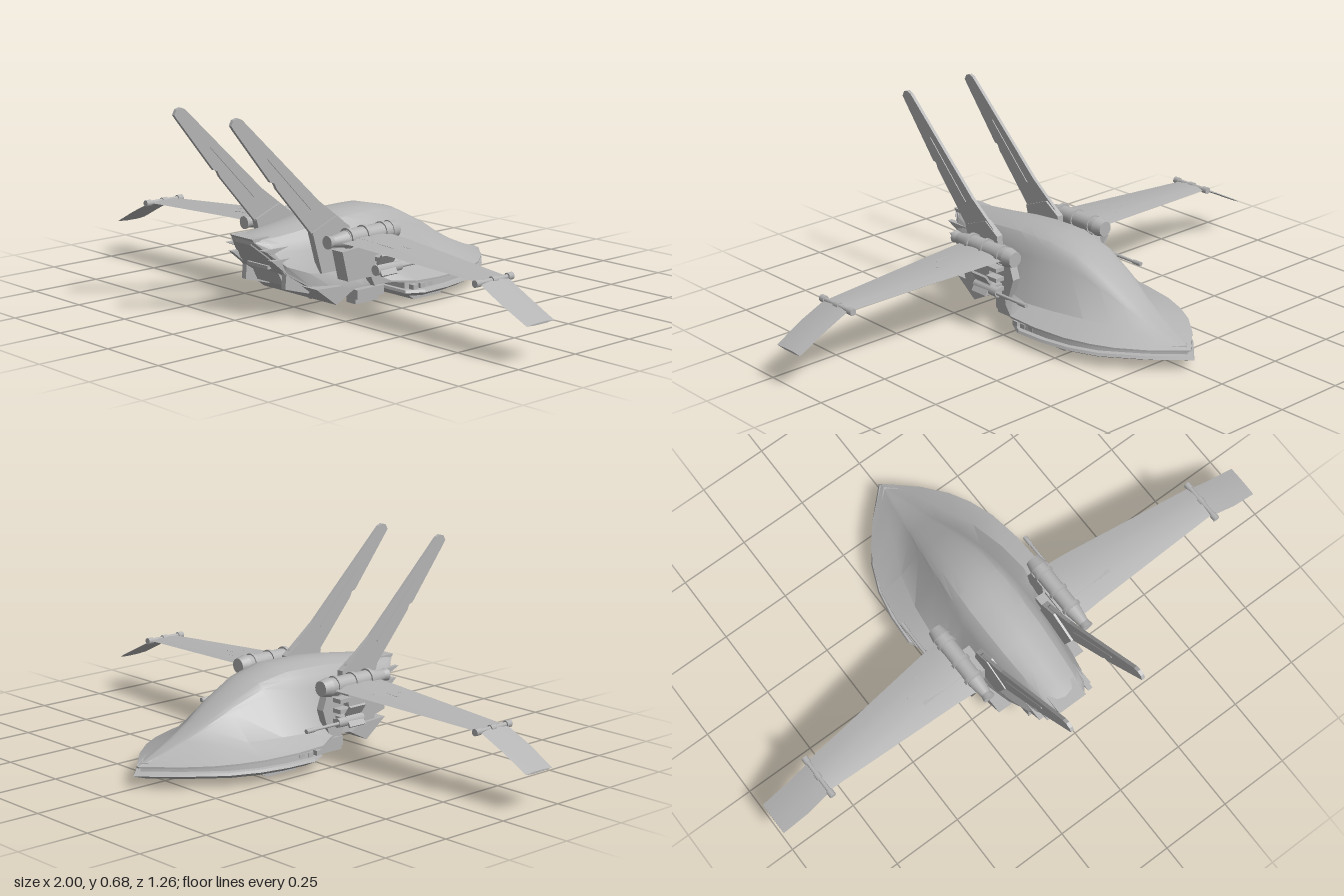
import * as THREE from 'three';
import { toCreasedNormals } from 'three/addons/utils/BufferGeometryUtils.js';

// Skin a closed surface over rings of [x, y, z] points, capped at both ends.
// Rings run clockwise when seen from the end they are stacked towards.
function loft(rings, crease = 0.5) {
  const n = rings[0].length, pos = rings.flat(2), index = [];
  for (let i = 0; i < rings.length - 1; i++) {
    for (let j = 0; j < n; j++) {
      const k = (j + 1) % n, a = i * n + j, b = i * n + k;
      index.push(a, a + n, b, b, a + n, b + n);
    }
  }
  [0, rings.length - 1].forEach((r, end) => {
    const centre = pos.length / 3;
    for (let c = 0; c < 3; c++) pos.push(rings[r].reduce((s, p) => s + p[c], 0) / n);
    for (let j = 0; j < n; j++) {
      const a = r * n + j, b = r * n + (j + 1) % n;
      if (end) index.push(centre, b, a); else index.push(centre, a, b);
    }
  });
  const g = new THREE.BufferGeometry();
  g.setAttribute('position', new THREE.Float32BufferAttribute(pos, 3));
  g.setIndex(index);
  return toCreasedNormals(g, crease);
}

// Plate with a [z, y] side profile, centred on x.
function sidePlate(points, x, width) {
  const shape = new THREE.Shape(points.map(p => new THREE.Vector2(p[0], p[1])));
  const g = new THREE.ExtrudeGeometry(shape, { depth: width, bevelEnabled: false });
  return g.rotateY(-Math.PI / 2).translate(x + width / 2, 0, 0);
}

const box = (w, h, d, x, y, z) => new THREE.BoxGeometry(w, h, d).translate(x, y, z);

// Cylinder lying along z.
const rod = (rFront, rBack, length, x, y, z, sides = 16) =>
  new THREE.CylinderGeometry(rFront, rBack, length, sides).rotateX(Math.PI / 2).translate(x, y, z);

// Mirror a geometry in x and restore its winding.
function mirrored(geometry) {
  const g = geometry.index ? geometry.toNonIndexed() : geometry.clone();
  g.scale(-1, 1, 1);
  for (const name of ['position', 'normal']) {
    const a = g.attributes[name].array;
    for (let i = 0; i < a.length; i += 9)
      for (let c = 3; c < 6; c++) [a[i + c], a[i + c + 3]] = [a[i + c + 3], a[i + c]];
  }
  return g;
}

export function createModel() {
  const model = new THREE.Group();
  model.name = 'winged shuttle';
  const grey = new THREE.MeshStandardMaterial({ color: 0xb4b4b4 });
  grey.name = 'hull grey';

  const add = (name, geometry) => {
    const mesh = new THREE.Mesh(geometry, grey);
    mesh.name = name;
    model.add(mesh);
  };
  const pair = (name, geometry) => {
    add(name + 'Left', geometry);
    add(name + 'Right', mirrored(geometry));
  };

  // Upper hull: z, roof y, shoulder x/y, skirt top x/y, skirt edge x/y
  const stations = [
    [-0.61, 0.07, 0.002, 0.069, 0.004, 0.068, 0.006, 0.064],
    [-0.52, 0.1, 0.025, 0.097, 0.06, 0.086, 0.105, 0.066],
    [-0.44, 0.133, 0.04, 0.127, 0.09, 0.106, 0.17, 0.068],
    [-0.37, 0.17, 0.055, 0.156, 0.115, 0.115, 0.208, 0.07],
    [-0.28, 0.225, 0.078, 0.198, 0.155, 0.118, 0.24, 0.072],
    [-0.16, 0.285, 0.1, 0.238, 0.185, 0.118, 0.258, 0.075],
    [-0.05, 0.311, 0.115, 0.245, 0.198, 0.115, 0.262, 0.08],
    [0.02, 0.312, 0.12, 0.24, 0.185, 0.12, 0.22, 0.085],
    [0.1, 0.311, 0.12, 0.235, 0.162, 0.13, 0.172, 0.075],
    [0.2, 0.302, 0.117, 0.225, 0.15, 0.13, 0.16, 0.07],
    [0.3, 0.288, 0.108, 0.215, 0.135, 0.145, 0.13, 0.1],
    [0.38, 0.277, 0.098, 0.22, 0.115, 0.175, 0.105, 0.15],
    [0.42, 0.271, 0.088, 0.232, 0.09, 0.21, 0.075, 0.2],
    [0.465, 0.263, 0.055, 0.257, 0.05, 0.25, 0.04, 0.246],
  ];
  add('upperHull', loft(stations.map(([z, top, x1, y1, x2, y2, x3, y3]) => {
    const half = [
      [x1 * 0.35, top - (top - y1) * 0.04], [x1 * 0.68, top - (top - y1) * 0.22],
      [x1 * 0.88, top - (top - y1) * 0.55], [x1, y1], [x2, y2], [x3, y3 + 0.006], [x3, y3],
    ];
    return [[0, top, z], ...half.map(p => [p[0], p[1], z]),
      ...half.reverse().map(p => [-p[0], p[1], z])];
  }), 0.45));

  // Lower prow: stacked outlines with a recessed band under the upper hull
  const outline = [[0.1, -0.53], [0.2, -0.4], [0.242, -0.3], [0.262, -0.2], [0.268, -0.09], [0.235, -0.03]];
  const prowRing = (y, s) => [[0, -0.63], ...outline.map(p => [-p[0], p[1]]), ...outline.slice().reverse()]
    .map(p => [p[0] * s, y, -0.2 + (p[1] + 0.2) * s]);
  add('lowerProw', loft([prowRing(0.078, 0.92), prowRing(0.052, 0.93), prowRing(0.05, 0.985),
    prowRing(0.041, 1), prowRing(0.024, 0.88)]));
  add('keelPlate', sidePlate([[-0.05, 0.05], [-0.11, 0], [-0.23, 0], [-0.28, 0.026]], 0, 0.38));

  // Rim blocks in the recessed band
  for (let i = 0; i < 6; i++)
    pair('rimBlock' + i, box(0.02, 0.016, 0.022, 0.242 - i * i * 0.0012, 0.061, -0.06 - i * 0.035));

  // Rear underside: jaw, ramp, cheeks and lip
  add('rearJaw', sidePlate([[0.31, 0.1], [0.225, 0.036], [0.15, 0.075], [0.2, 0.095]], 0, 0.36));
  add('rearRamp', sidePlate([[0.4, 0.2], [0.35, 0.1], [0.25, 0.07], [0.25, 0.2]], 0, 0.13));
  pair('rearCheek', sidePlate([[0.435, 0.2], [0.375, 0.15], [0.38, 0.1], [0.28, 0.07],
    [0.26, 0.12], [0.3, 0.2]], 0.098, 0.02));
  pair('rearFork', sidePlate([[0.46, 0.235], [0.38, 0.2], [0.26, 0.2], [0.3, 0.235]], 0.085, 0.018));
  add('tailLip', sidePlate([[0.472, 0.268], [0.455, 0.248], [0.4, 0.235], [0.4, 0.268]], 0, 0.11));
  add('rearHatchFrame', box(0.1, 0.012, 0.02, 0, 0.165, 0.395));
  add('bellyBlock', box(0.2, 0.05, 0.2, 0, 0.075, 0.07));
  add('bellyTank', rod(0.045, 0.035, 0.16, 0, 0.06, 0.1, 12));

  // Landing feet
  pair('landingFoot', box(0.06, 0.032, 0.12, 0.14, 0.05, 0.065));
  pair('landingPad', box(0.045, 0.02, 0.1, 0.14, 0.028, 0.075));

  // Tall raked tail fins with rounded tips
  pair('tailFin', sidePlate([[0.14, 0.27], [0.165, 0.3], [0.27, 0.38], [0.583, 0.675], [0.6, 0.682],
    [0.617, 0.677], [0.626, 0.66], [0.615, 0.645], [0.47, 0.465], [0.455, 0.46], [0.445, 0.44],
    [0.3, 0.275], [0.27, 0.21], [0.18, 0.2]], 0.14, 0.012));
  pair('finRoot', sidePlate([[0.13, 0.14], [0.14, 0.28], [0.2, 0.32], [0.3, 0.28], [0.26, 0.14]], 0.138, 0.024));
  pair('finRib', sidePlate([[0.3, 0.36], [0.48, 0.545], [0.484, 0.54], [0.305, 0.355]], 0.14, 0.018));

  // Wing panels: x, y, leading z, trailing z, half thickness
  const wingRing = ([x, y, z0, z1, t]) => {
    const at = f => z0 + (z1 - z0) * f;
    return [[x, y + t, at(0.65)], [x, y + t, at(0.25)], [x, y, z0],
      [x, y - t, at(0.25)], [x, y - t, at(0.65)], [x, y, z1]];
  };
  pair('innerWing', loft([[0.2, 0.25, 0.025, 0.245, 0.01], [0.3, 0.247, 0.032, 0.238, 0.009],
    [0.81, 0.22, 0.092, 0.215, 0.005]].map(wingRing)));
  pair('outerWing', loft([[0.805, 0.221, 0.097, 0.22, 0.005], [0.9, 0.175, 0.1, 0.225, 0.004],
    [1, 0.124, 0.098, 0.218, 0.003]].map(wingRing)));
  pair('wingHinge', rod(0.008, 0.008, 0.15, 0.806, 0.221, 0.157, 10));
  for (const z of [0.087, 0.155, 0.227])
    pair('hingeKnuckle', rod(0.012, 0.012, 0.022, 0.806, 0.221, z, 10));
  for (const [z, length] of [[0.09, 0.13], [0.13, 0.19], [0.17, 0.16]])
    pair('wingRootRib', box(length, 0.012, 0.012, length / 2, 0, 0).rotateZ(-0.045).translate(0.23, 0.252, z));

  // Engine pods at the wing roots
  pair('podBody', rod(0.028, 0.03, 0.2, 0.205, 0.257, 0.11));
  pair('podNose', rod(0.033, 0.026, 0.035, 0.205, 0.257, 0.006));
  pair('podTail', rod(0.018, 0.028, 0.06, 0.205, 0.255, 0.24));
  pair('podNozzle', rod(0.022, 0.018, 0.02, 0.205, 0.255, 0.278));
  for (const z of [0.05, 0.13, 0.2]) pair('podBand', rod(0.034, 0.034, 0.012, 0.205, 0.257, z));

  // Machinery under the pods
  pair('engineBlock', sidePlate([[0.24, 0.22], [0.215, 0.12], [0.1, 0.12], [0.095, 0.23]], 0.2, 0.05));
  pair('engineMount', box(0.06, 0.09, 0.1, 0.17, 0.17, 0.14));
  pair('forwardStrut', sidePlate([[0.08, 0.24], [0.1, 0.12], [0.08, 0.08], [0.03, 0.09], [0, 0.18], [0.02, 0.24]], 0.19, 0.03));
  for (let i = 0; i < 3; i++)
    pair('strutPlate' + i, box(0.05, 0.014, 0.05, 0.215, 0.21 - i * 0.035, 0.07));

  // Side guns with flared guards
  pair('gunHousing', rod(0.018, 0.016, 0.11, 0.255, 0.147, 0.07, 10));
  pair('gunBarrel', rod(0.006, 0.005, 0.13, 0.262, 0.147, -0.04, 8));
  pair('gunMuzzle', rod(0.008, 0.008, 0.035, 0.262, 0.147, -0.11, 8));
  pair('gunBracket', box(0.07, 0.02, 0.05, 0.225, 0.145, 0.08));
  for (const s of [1, -1])
    pair('gunGuard', box(0.008, 0.04, 0.07, 0, 0, 0).rotateZ(-0.6 * s).translate(0.268, 0.165 + s * 0.018, 0.085));

  return model;
}
